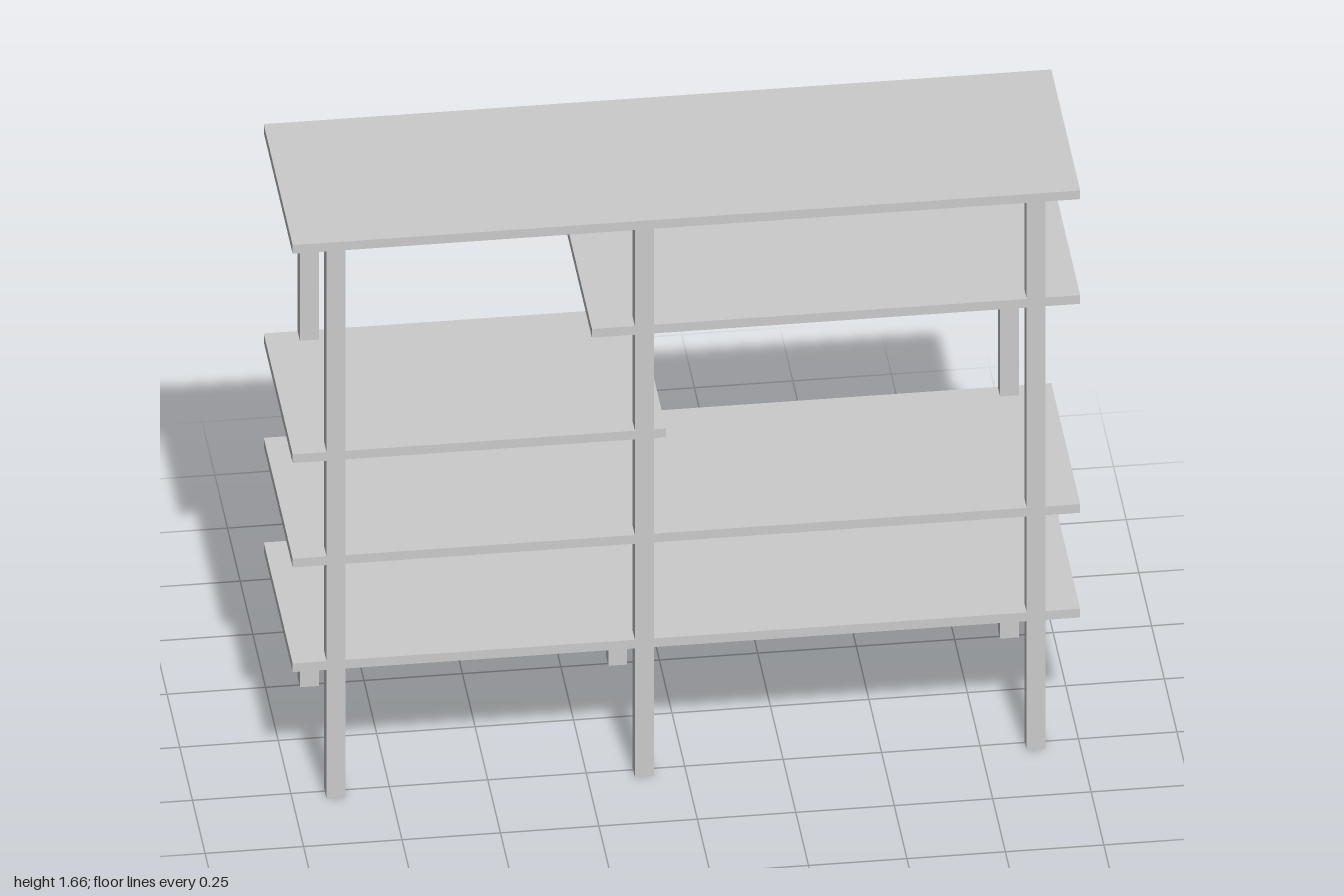
import * as THREE from 'three';

const HALF_DEPTH = 0.285;
const SHELF = 0.026;               // shelf thickness
const POST_W = 0.048, POST_D = 0.046;
const POST_X = [-0.89, -0.107, 0.888];
const HEIGHT = 1.662;

const material = new THREE.MeshStandardMaterial({ color: 0xcccccc });

// Board from x0 to x1, notched on both long edges where the posts pass through
function makeShelf(name, x0, x1, topY, notched = true) {
  const posts = notched ? POST_X.filter((x) => x > x0 && x < x1) : [];
  const front = [[x0, -HALF_DEPTH]];
  for (const x of posts) {
    const a = x - POST_W / 2, b = x + POST_W / 2, inner = -HALF_DEPTH + POST_D;
    front.push([a, -HALF_DEPTH], [a, inner], [b, inner], [b, -HALF_DEPTH]);
  }
  front.push([x1, -HALF_DEPTH]);
  const back = front.map(([x, y]) => [x, -y]).reverse();
  const outline = [...front, ...back].map(([x, y]) => new THREE.Vector2(x, y));
  const geometry = new THREE.ExtrudeGeometry(new THREE.Shape(outline), { depth: SHELF, bevelEnabled: false });
  geometry.rotateX(-Math.PI / 2);
  const mesh = new THREE.Mesh(geometry, material);
  mesh.name = name;
  mesh.position.y = topY - SHELF;
  return mesh;
}

export function createModel() {
  const group = new THREE.Group();
  group.name = 'shelfUnit';

  // Shelves: two full boards, two staggered part-width boards, and the top
  group.add(
    makeShelf('bottomShelf', -1, 1, 0.411),
    makeShelf('lowerShelf', -1, 1, 0.724),
    makeShelf('rightHalfShelf', -1, -0.052, 1.036),
    makeShelf('leftHalfShelf', -0.24, 1, 1.349),
    makeShelf('topBoard', -1, 1, HEIGHT, false),
  );

  // Posts: three pairs, flush with the long edges and ending under the top
  const postHeight = HEIGHT - SHELF;
  const postGeometry = new THREE.BoxGeometry(POST_W, postHeight, POST_D);
  for (const x of POST_X) {
    for (const side of [1, -1]) {
      const post = new THREE.Mesh(postGeometry, material);
      post.name = side > 0 ? 'frontPost' : 'backPost';
      post.position.set(x, postHeight / 2, side * (HALF_DEPTH - POST_D / 2));
      group.add(post);
    }
  }
  return group;
}
